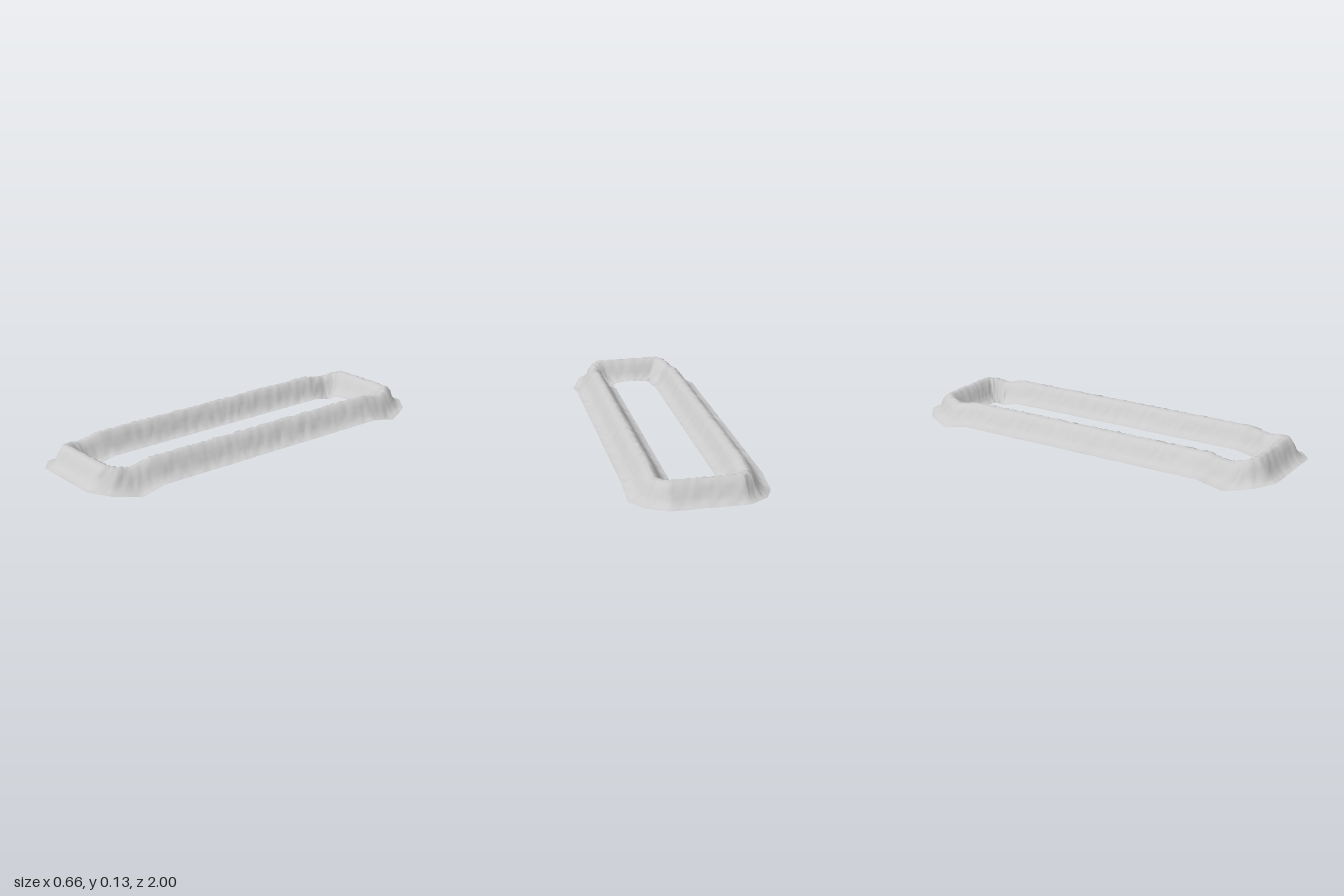
import * as THREE from 'three';

// Corner points of one quarter, from mid-side to mid-end: [x, z, dip] per line
const QUARTER = {
  outer: [[0.328, 0, 0], [0.328, 0.67, 0], [0.328, 0.8, 0.028], [0.272, 0.93, 0.008], [0.18, 0.998, 0], [0, 0.998, 0]],
  ridge: [[0.212, 0, 0], [0.212, 0.67, 0], [0.212, 0.79, 0.022], [0.2, 0.85, 0.008], [0.165, 0.89, 0], [0, 0.89, 0]],
  inner: [[0.108, 0, 0], [0.108, 0.65, 0], [0.108, 0.745, 0.019], [0.102, 0.768, 0.016], [0.088, 0.783, 0.008], [0, 0.783, 0]],
};
const STEPS = [34, 7, 6, 6, 9];
// Bank profile: [distance from crest to toe, height]
const PROFILE = [[0, 0.127], [0.18, 0.12], [0.36, 0.091], [0.5, 0.064], [0.65, 0.043], [0.82, 0.032], [1, 0.029]];

function seeded(seed) {
  return () => {
    seed = (seed * 16807) % 2147483647;
    return seed / 2147483647 - 0.5;
  };
}

// Subdivide a quarter line and mirror it into a closed loop
function closedLoop(points) {
  const quarter = [];
  STEPS.forEach((n, s) => {
    for (let i = 0; i < n; i++) {
      quarter.push(points[s].map((v, k) => THREE.MathUtils.lerp(v, points[s + 1][k], i / n)));
    }
  });
  quarter.push(points[points.length - 1]);
  const half = [...quarter, ...quarter.slice(0, -1).reverse().map(([x, z, d]) => [-x, z, d])];
  return [...half, ...half.slice(1, -1).reverse().map(([x, z, d]) => [x, -z, d])];
}

function bankGeometry() {
  const [outer, ridge, inner] = ['outer', 'ridge', 'inner'].map((k) => closedLoop(QUARTER[k]));
  const stations = [
    ...PROFILE.slice().reverse().map(([u, h]) => [outer, u, h]),
    ...PROFILE.slice(1).map(([u, h]) => [inner, u, h]),
  ];
  const rows = ridge.length, cols = stations.length;
  const rand = seeded(4711);
  const position = [], index = [];

  for (let i = 0; i < rows; i++) {
    stations.forEach(([toe, u, h]) => {
      const [x, z, dip] = ridge[i].map((v, k) => THREE.MathUtils.lerp(v, toe[i][k], u));
      // Rough earth: bumpy slopes, nearly even edges
      const rough = u === 1 ? 0.002 : 0.007;
      const side = u === 1 ? 0.001 : 0.006;
      position.push(x + rand() * side, Math.max(0, h - dip + rand() * rough), z + rand() * side);
    });
  }
  for (let i = 0; i < rows; i++) {
    for (let j = 0; j < cols - 1; j++) {
      const a = i * cols + j, b = ((i + 1) % rows) * cols + j;
      index.push(a, a + 1, b, a + 1, b + 1, b);
    }
  }
  const geometry = new THREE.BufferGeometry();
  geometry.setAttribute('position', new THREE.Float32BufferAttribute(position, 3));
  geometry.setIndex(index);
  geometry.computeVertexNormals();
  return geometry;
}

export function createModel() {
  const group = new THREE.Group();
  // Open-bottomed raised bank running round a long rectangle
  const bank = new THREE.Mesh(
    bankGeometry(),
    new THREE.MeshStandardMaterial({ color: 0xcccccc, side: THREE.DoubleSide }),
  );
  bank.name = 'raisedBank';
  group.add(bank);
  return group;
}
